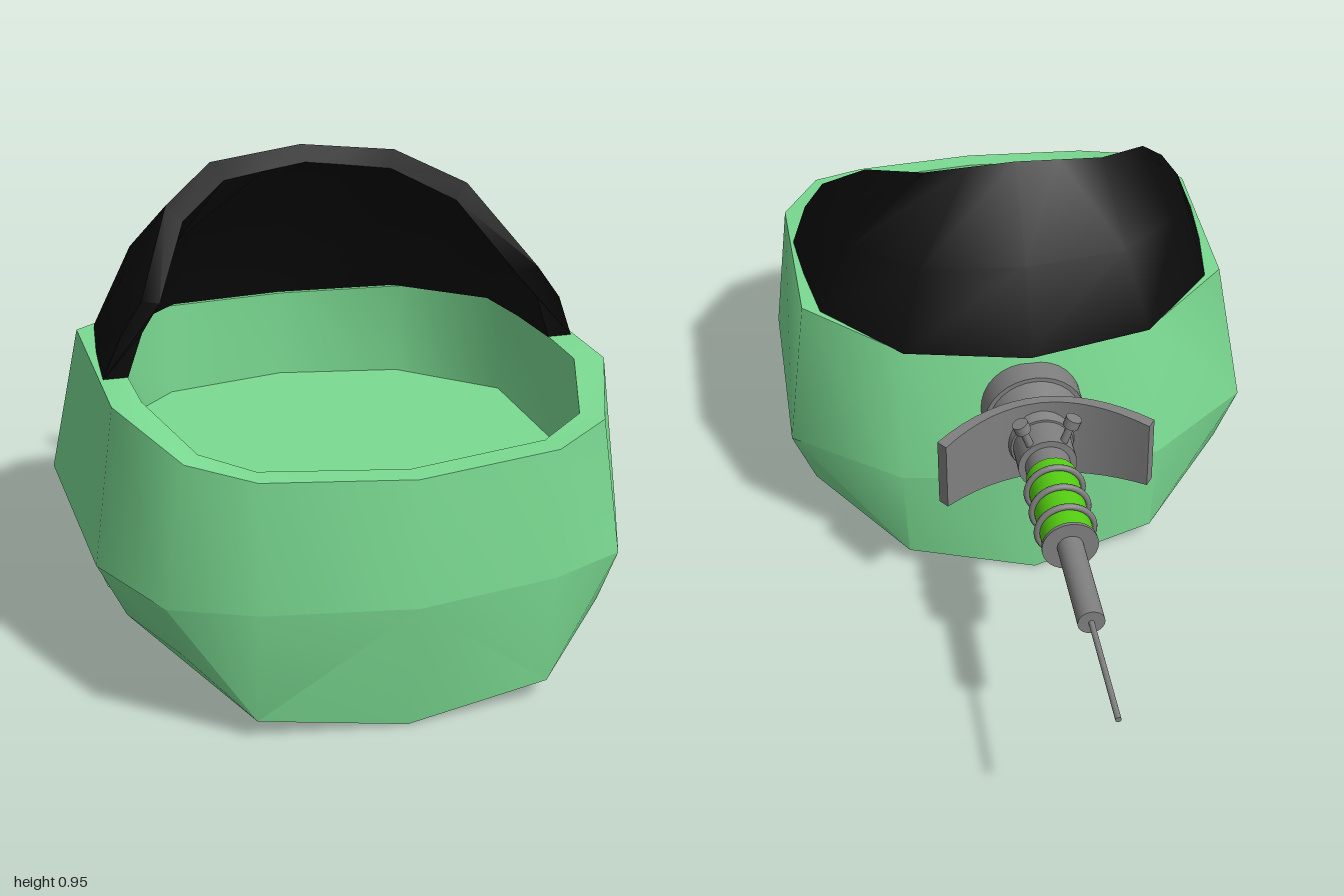
import * as THREE from 'three';
import { mergeGeometries, toCreasedNormals } from 'three/addons/utils/BufferGeometryUtils.js';
import { ConvexGeometry } from 'three/addons/geometries/ConvexGeometry.js';

const mat = (color) => new THREE.MeshStandardMaterial({ color });
const mirror = ([x, y, z]) => [-x, y, z];
const toVectors = (points) => points.map((p) => new THREE.Vector3(...p));

// Skin a list of closed rings and cap both ends.
function loft(rings, crease) {
  const out = [];
  const tri = (...pts) => pts.forEach((p) => out.push(...p));
  const n = rings[0].length;
  for (let r = 0; r < rings.length - 1; r++) {
    const a = rings[r], b = rings[r + 1];
    for (let i = 0; i < n; i++) {
      const j = (i + 1) % n;
      tri(a[i], b[i], b[j]);
      tri(a[i], b[j], a[j]);
    }
  }
  const first = rings[0], last = rings[rings.length - 1];
  for (let i = 1; i < n - 1; i++) {
    tri(first[0], first[i], first[i + 1]);
    tri(last[0], last[i + 1], last[i]);
  }
  const g = new THREE.BufferGeometry();
  g.setAttribute('position', new THREE.Float32BufferAttribute(out, 3));
  g.computeVertexNormals();
  return toCreasedNormals(g, crease);
}

// Half outline from back centre to front centre, completed by mirroring.
const fullRing = (half) => [...half, ...half.slice(1, -1).reverse().map(mirror)];

export function createModel() {
  const model = new THREE.Group();
  const green = mat(0x7bdb92), black = mat(0x0a0a0a), grey = mat(0x808080), lime = mat(0x55d012);

  const add = (name, geometry, material, parent = model) => {
    const mesh = new THREE.Mesh(geometry, material);
    mesh.name = name;
    parent.add(mesh);
    return mesh;
  };

  // Upper basket: outer wall, rim, inner wall and floor
  const wide = [[0, 0.27, -0.07], [0.3, 0.27, -0.02], [0.54, 0.27, 0.17], [0.54, 0.27, 0.67],
    [0.45, 0.27, 0.88], [0.29, 0.27, 0.95], [0, 0.27, 1]];
  const rim = [[0, 0.57, -0.01], [0.28, 0.58, 0.04], [0.49, 0.595, 0.23], [0.5, 0.59, 0.66],
    [0.41, 0.55, 0.87], [0.29, 0.53, 0.94], [0, 0.52, 0.98]];
  const inner = [[0, 0.57, 0.04], [0.26, 0.58, 0.09], [0.44, 0.595, 0.26], [0.44, 0.59, 0.65],
    [0.375, 0.55, 0.83], [0.28, 0.53, 0.89], [0, 0.52, 0.93]];
  const floor = inner.map(([x, , z]) => [x, 0.38, z]);
  add('basket', loft([wide, rim, inner, floor].map(fullRing), 0.95), green);

  // Faceted underside in two blocks, with the strap groove between them
  const frontBlock = [[0.54, 0.27, 0.66], ...wide.slice(4),
    [0.48, 0.15, 0.655], [0.29, 0.04, 0.655], [0, 0, 0.655],
    [0.42, 0.165, 0.86], [0.29, 0.04, 0.93], [0, 0, 0.95]];
  const backBlock = [[0.54, 0.27, 0.525], ...wide.slice(0, 3),
    [0.49, 0.14, 0.51], [0.29, 0.04, 0.51], [0, 0, 0.51],
    [0.49, 0.14, 0.18], [0.29, 0.04, -0.01], [0, 0, -0.07]];
  for (const [name, half] of [['frontUnderside', frontBlock], ['backUnderside', backBlock]]) {
    const hull = new ConvexGeometry(toVectors([...half, ...half.map(mirror)]));
    add(name, toCreasedNormals(hull, 0.65), green);
  }

  // Hood: each column runs up the outside and down the inside
  const columns = [
    [[0.49, 0.59, 0.52], [0.455, 0.68, 0.53], [0.41, 0.745, 0.52], [0.37, 0.73, 0.5], [0.41, 0.68, 0.52], [0.44, 0.59, 0.52]],
    [[0.475, 0.595, 0.37], [0.425, 0.74, 0.38], [0.32, 0.88, 0.34], [0.29, 0.85, 0.36], [0.38, 0.73, 0.38], [0.43, 0.59, 0.38]],
    [[0.45, 0.595, 0.21], [0.37, 0.76, 0.21], [0.2, 0.93, 0.22], [0.18, 0.9, 0.26], [0.33, 0.74, 0.25], [0.41, 0.59, 0.25]],
    [[0.28, 0.58, 0.035], [0.23, 0.77, 0.08], [0.1, 0.94, 0.21], [0.09, 0.91, 0.245], [0.2, 0.76, 0.12], [0.25, 0.58, 0.08]],
    [[0, 0.57, -0.015], [0, 0.77, 0.05], [0, 0.95, 0.2], [0, 0.92, 0.235], [0, 0.76, 0.09], [0, 0.57, 0.03]],
  ];
  const left = columns.slice(0, -1).reverse().map((c) => c.map(mirror));
  add('hood', loft([...columns, ...left], 0.9), black);

  // Antenna assembly, turned parts along the rear axis
  const antenna = new THREE.Group();
  antenna.name = 'antenna';
  antenna.position.y = 0.44;
  model.add(antenna);
  const turned = (name, r0, r1, z0, z1, material = grey) => {
    const g = new THREE.CylinderGeometry(r1, r0, z0 - z1, 32);
    g.rotateX(-Math.PI / 2).translate(0, 0, (z0 + z1) / 2);
    return add(name, g, material, antenna);
  };
  turned('mountDisc', 0.115, 0.115, 0.03, -0.07);
  turned('mountFlange', 0.105, 0.1, -0.07, -0.085);
  turned('mountStep', 0.1, 0.09, -0.085, -0.115);
  turned('housing', 0.085, 0.07, -0.115, -0.165);
  turned('collar', 0.065, 0.065, -0.165, -0.235);
  turned('neck', 0.05, 0.05, -0.235, -0.285);
  turned('grip', 0.056, 0.056, -0.28, -0.5, lime);
  turned('gripEnd', 0.06, 0.06, -0.498, -0.506);
  for (const z of [-0.32, -0.385, -0.45]) {
    const ring = add('gripRing', new THREE.TorusGeometry(0.061, 0.007, 8, 32), grey, antenna);
    ring.position.z = z;
  }
  turned('mast', 0.028, 0.028, -0.5, -0.735);
  turned('whip', 0.006, 0.006, -0.73, -1);

  // Curved guard plate sweeping back on both sides
  const plate = [];
  for (let i = 0; i <= 16; i++) {
    const u = 1 - i / 8, x = 0.23 * u, z = -0.13 - 0.1 * u * u, h = 0.1 - 0.018 * u * u;
    const t = 0.011, s = 0.008 * u;
    plate.push([[x - s, -h, z - t], [x - s, h, z - t], [x + s, h, z + t], [x + s, -h, z + t]]);
  }
  add('guardPlate', loft(plate, 0.6), grey, antenna);

  // Pair of small thumb screws on the collar
  for (const side of [1, -1]) {
    const stem = new THREE.CylinderGeometry(0.009, 0.009, 0.06, 12).translate(0, 0.03, 0);
    const head = new THREE.CylinderGeometry(0.018, 0.018, 0.022, 16).translate(0, 0.06, 0);
    const screw = add('thumbScrew', mergeGeometries([stem, head]), grey, antenna);
    screw.position.set(side * 0.035, 0.045, -0.222);
    screw.rotation.z = -side * 0.35;
  }
  return model;
}
